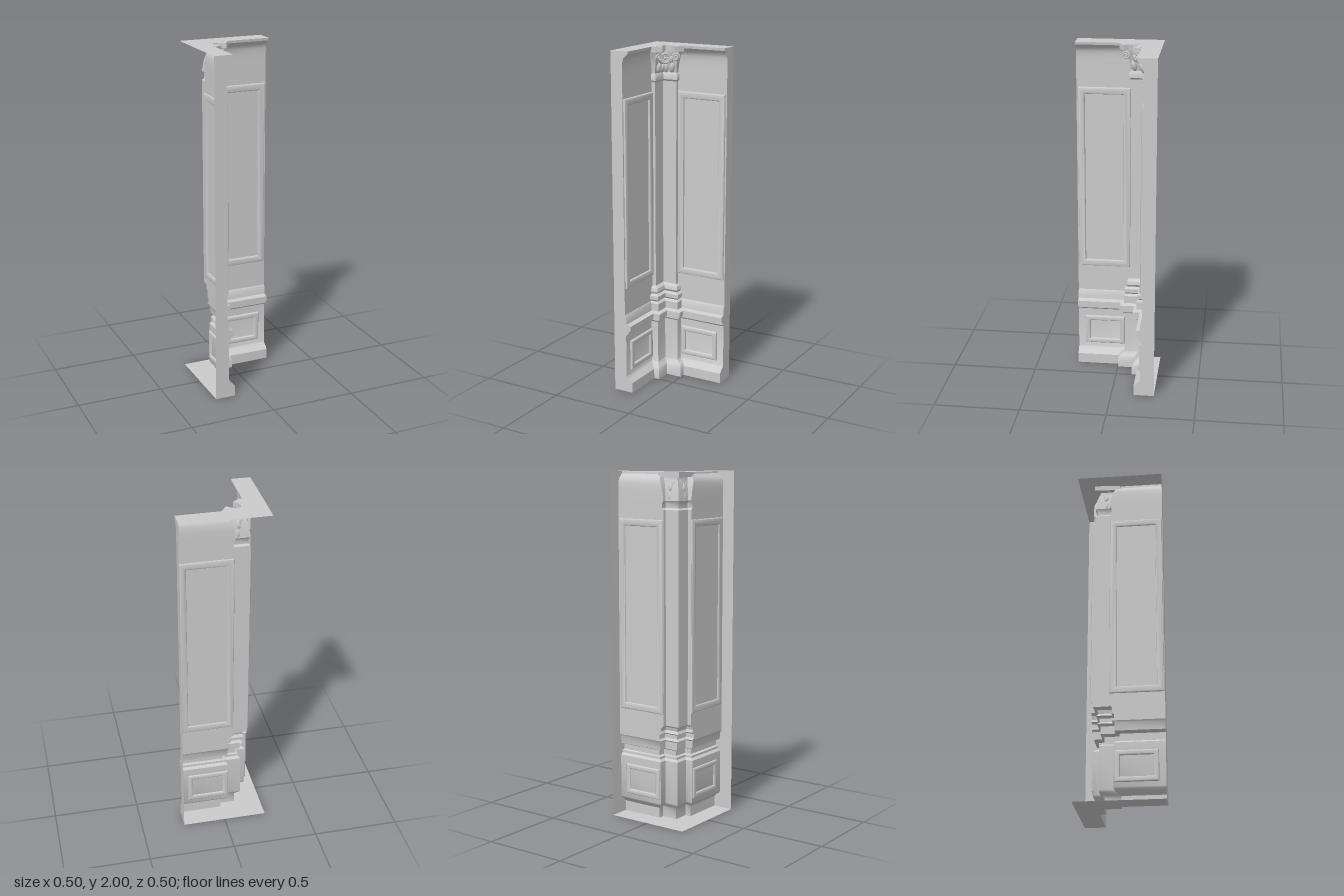
import * as THREE from 'three';
import { toCreasedNormals } from 'three/addons/utils/BufferGeometryUtils.js';

const mat = new THREE.MeshStandardMaterial({ color: 0xcccccc, side: THREE.DoubleSide });
const OUT = -0.25, END = 0.25;

// Height, wall face, pilaster face, pilaster outer edge
const stations = [
  [0, -0.13, -0.095, 0], [0.06, -0.13, -0.095, 0], [0.075, -0.145, -0.105, -0.01],
  [0.09, -0.165, -0.122, -0.035], [0.1, -0.17, -0.125, -0.04], [0.35, -0.17, -0.125, -0.04],
  [0.362, -0.155, -0.11, -0.025], [0.375, -0.155, -0.11, -0.025], [0.38, -0.14, -0.097, -0.01],
  [0.41, -0.14, -0.097, -0.01], [0.42, -0.165, -0.118, -0.035], [0.465, -0.17, -0.118, -0.035],
  [0.475, -0.177, -0.135, -0.048], [0.487, -0.177, -0.122, -0.036], [0.51, -0.177, -0.122, -0.036],
  [0.52, -0.177, -0.14, -0.052], [0.535, -0.177, -0.13, -0.045], [0.555, -0.177, -0.135, -0.05],
  [0.567, -0.177, -0.155, -0.066], [1.79, -0.177, -0.155, -0.066], [1.8, -0.177, -0.145, -0.056],
  [1.825, -0.177, -0.145, -0.056], [1.84, -0.177, -0.155, -0.066], [1.9, -0.177, -0.147, -0.058],
  [1.94, -0.175, -0.135, -0.045], [1.96, -0.168, -0.128, -0.035], [1.975, -0.152, -0.128, -0.03],
  [1.985, -0.142, -0.128, -0.025], [2, -0.14, -0.128, -0.02],
];

const plan = ([, w, p, e]) => [[END, w], [e, w], [e, p], [p, p], [p, e], [w, e], [w, END]];

function add(parent, name, geo, x = 0, y = 0, z = 0) {
  const m = new THREE.Mesh(geo, mat);
  m.name = name;
  m.position.set(x, y, z);
  parent.add(m);
  return m;
}

const shapeOf = pts => new THREE.Shape(pts.map(p => new THREE.Vector2(...p)));

// Loft the folded wall and pilaster through all heights
function wallGeometry() {
  const pos = [];
  for (let i = 0; i < stations.length - 1; i++) {
    const lo = plan(stations[i]).map(([x, z]) => [x, stations[i][0], z]);
    const hi = plan(stations[i + 1]).map(([x, z]) => [x, stations[i + 1][0], z]);
    for (let j = 0; j < lo.length - 1; j++) {
      for (const v of [lo[j], hi[j], lo[j + 1], lo[j + 1], hi[j], hi[j + 1]]) pos.push(...v);
    }
  }
  const g = new THREE.BufferGeometry();
  g.setAttribute('position', new THREE.Float32BufferAttribute(pos, 3));
  return toCreasedNormals(g, 0.6);
}

// Flat L-shaped closing plate
function plateGeometry(station) {
  const g = new THREE.ShapeGeometry(shapeOf([[OUT, OUT], [END, OUT], ...plan(station), [OUT, END]]));
  return g.rotateX(Math.PI / 2);
}

const rect = (x0, y0, x1, y1) => [[x0, y0], [x1, y0], [x1, y1], [x0, y1]];

// Rounded picture-frame moulding with its back at z = 0
function frameGeometry(x0, y0, x1, y1, width, height) {
  const b = width * 0.35;
  const s = shapeOf(rect(x0 + b, y0 + b, x1 - b, y1 - b));
  const i = width - b;
  s.holes.push(new THREE.Path(rect(x0 + i, y0 + i, x1 - i, y1 - i).reverse().map(p => new THREE.Vector2(...p))));
  const g = new THREE.ExtrudeGeometry(s, {
    depth: height * 0.4, bevelThickness: height * 0.6, bevelSize: b, bevelSegments: 3,
  });
  return toCreasedNormals(g, 0.6);
}

// Spiral scroll lying in the xy plane
function scrollGeometry(r) {
  const pts = [];
  for (let i = 0; i <= 24; i++) {
    const a = i / 24 * Math.PI * 3.4, k = r * (1 - 0.8 * i / 24);
    pts.push(new THREE.Vector3(Math.cos(a) * k, Math.sin(a) * k, r * 0.5 * i / 24));
  }
  return new THREE.TubeGeometry(new THREE.CatmullRomCurve3(pts), 48, r * 0.24, 6);
}

function wing(name) {
  const g = new THREE.Group();
  g.name = name;
  // End cap follows the moulding profile
  const cap = shapeOf([[-OUT, 0], ...stations.map(([y, w]) => [-w, y]), [-OUT, 2]]);
  add(g, 'endCap', new THREE.ShapeGeometry(cap).rotateY(Math.PI / 2), END);
  add(g, 'tallPanelFrame', frameGeometry(-0.064, 0.635, 0.242, 1.735, 0.04, 0.014), 0, 0, -0.177);
  add(g, 'lowerPanelFrame', frameGeometry(-0.035, 0.125, 0.207, 0.305, 0.03, 0.014), 0, 0, -0.17);
  // Capital scroll and leaves
  const scroll = add(g, 'capitalScroll', scrollGeometry(0.023), -0.046, 1.935, -0.115);
  scroll.rotation.y = 0.35;
  for (const [x, y, s] of [[-0.125, 1.865, 1], [-0.085, 1.87, 1.15], [-0.09, 1.915, 0.9]]) {
    const leaf = add(g, 'capitalLeaf', new THREE.SphereGeometry(0.018 * s, 12, 8), x, y, -0.14);
    leaf.scale.set(0.75, 1.5, 0.7);
    leaf.rotation.set(0.25, 0, -0.2);
  }
  return g;
}

export function createModel() {
  const model = new THREE.Group();
  model.name = 'panelledCornerWall';
  add(model, 'wallAndPilaster', wallGeometry());
  add(model, 'bottomPlate', plateGeometry(stations[0]));
  add(model, 'topPlate', plateGeometry(stations.at(-1)), 0, 2, 0);

  // Two mirrored wings: the second swaps x and z
  model.add(wing('backWing'));
  const side = wing('sideWing');
  side.rotation.y = Math.PI / 2;
  side.scale.x = -1;
  model.add(side);

  // Horned slab over the capital
  const half = [[-0.01, -0.15], [-0.004, -0.132], [-0.034, -0.086], [-0.058, -0.104], [-0.082, -0.114]];
  const outline = [[-0.16, -0.16], ...half, [-0.112, -0.112], ...half.map(([x, z]) => [z, x]).reverse()];
  const slab = new THREE.ExtrudeGeometry(shapeOf(outline), { depth: 0.03, bevelEnabled: false });
  add(model, 'capitalSlab', slab.rotateX(Math.PI / 2), 0, 1.999, 0);

  // Rosette set diagonally in the fold
  const rosette = new THREE.Group();
  rosette.name = 'rosette';
  rosette.position.set(-0.117, 1.925, -0.117);
  rosette.rotation.y = Math.PI / 4;
  add(rosette, 'rosetteRing', new THREE.TorusGeometry(0.026, 0.008, 8, 24));
  add(rosette, 'rosetteCentre', new THREE.SphereGeometry(0.011, 12, 8));
  for (let i = 0; i < 8; i++) {
    const a = i * Math.PI / 4;
    const petal = add(rosette, 'rosettePetal', new THREE.SphereGeometry(0.008, 8, 6), Math.cos(a) * 0.017, Math.sin(a) * 0.017, 0);
    petal.scale.z = 0.6;
  }
  model.add(rosette);
  return model;
}
